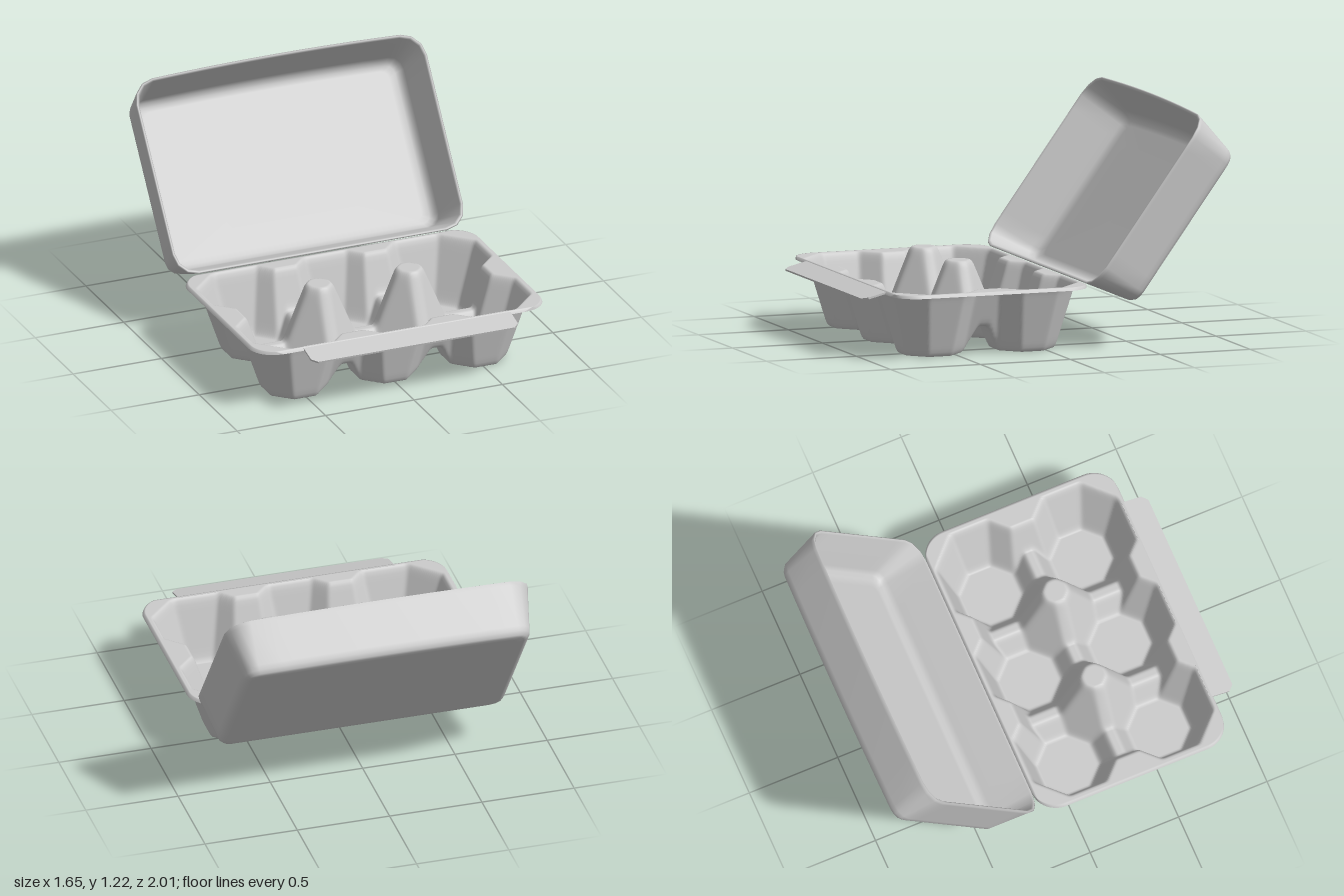
import * as THREE from 'three';

const material = new THREE.MeshStandardMaterial({ color: 0xcccccc, side: THREE.DoubleSide });
const RIM = 0.348, MID_Z = 0.34;

// Height of the moulded tray: octagonal cups, low ridges and two posts, folded by symmetry
function trayHeight(x, z) {
  const X = Math.abs(x), Z = Math.abs(z - MID_Z);
  const cupX = X < 0.255 ? 0 : 0.51;
  const dx = X - cupX, dz = Z - 0.257;
  const outX = cupX > 0 && dx > 0, outZ = dz > 0;
  const face = (d, slope, cap) => Math.min(cap, (d - 0.16) * slope);
  const post = 0.44 - Math.max(0, Math.hypot(X - 0.255, Z) - 0.07) * 2.4;
  const ax = Math.abs(dx), az = Math.abs(dz), diagonal = (ax + az) / Math.SQRT2;
  const sideX = outX ? face(ax, 3.1, RIM) : face(ax, 2, 0.13);
  const sideZ = outZ ? face(az, 3.8, RIM) : face(az, 2, 0.14);
  // ridges end in steep walls that scallop the opening between the cups
  const endWall = outX ? RIM - (0.69 - X) * 3 : RIM - (0.44 - Z) * 3;
  let corner;
  if (outX && outZ) corner = face(diagonal, 3.2, RIM);
  else if (outX || outZ) corner = face(diagonal, 3.4, Math.min(RIM, endWall));
  else corner = face(diagonal, 3.3, post);
  return Math.max(0, sideX, sideZ, corner);
}

// Average of nearby heights, which softens the moulded edges
function softHeight(x, z) {
  const s = 0.009;
  let sum = 0;
  for (const i of [-s, 0, s]) for (const j of [-s, 0, s]) sum += trayHeight(x + i, z + j);
  return sum / 9;
}

// Tray as a height grid whose rows narrow at the rounded corners
function trayGeometry() {
  const nx = 200, nz = 130, z0 = -0.2, z1 = 0.88, r = 0.14;
  const geometry = new THREE.PlaneGeometry(2, 2, nx, nz).rotateX(-Math.PI / 2);
  const p = geometry.attributes.position;
  for (let i = 0; i < p.count; i++) {
    const u = p.getX(i), v = p.getZ(i);
    const z = z0 + (v + 1) / 2 * (z1 - z0);
    const e = Math.min(r, z - z0, z1 - z);
    const half = 0.825 - r + Math.sqrt(Math.max(0, r * r - (r - e) ** 2));
    const x = u * half;
    const edge = Math.abs(u) > 0.9999 || Math.abs(v) > 0.9999;
    p.setXYZ(i, x, edge ? RIM - 0.016 : softHeight(x, z), z);
  }
  geometry.computeVertexNormals();
  return geometry;
}

// Rounded rectangle with subdivided sides
function roundedLoop(a, b, r) {
  const points = [], corners = [[1, 1], [-1, 1], [-1, -1], [1, -1]];
  const arcs = corners.map(([sx, sy], k) => {
    const arc = [];
    for (let j = 0; j <= 3; j++) {
      const t = (k + j / 3) * Math.PI / 2;
      arc.push([sx * (a - r) + r * Math.cos(t), sy * (b - r) + r * Math.sin(t)]);
    }
    return arc;
  });
  arcs.forEach((arc, k) => {
    points.push(...arc);
    const from = arc[3], to = arcs[(k + 1) % 4][0];
    for (let j = 1; j < 10; j++) {
      points.push([0, 1].map(c => from[c] + (to[c] - from[c]) * j / 10));
    }
  });
  return points;
}

// Lid: loops run from the outside floor over the rim to the inside floor
function lidGeometry() {
  // depth, half width, half length, corner radius
  const sections = [
    [0.28, 0.001, 0.001, 0.0005], [0.28, 0.70, 0.41, 0.04], [0.28, 0.738, 0.437, 0.05],
    [0.274, 0.757, 0.452, 0.06], [0.255, 0.773, 0.466, 0.07], [0.23, 0.778, 0.473, 0.075],
    [0.02, 0.817, 0.522, 0.115], [0, 0.822, 0.527, 0.12], [-0.003, 0.815, 0.52, 0.115],
    [0.004, 0.805, 0.51, 0.11], [0.22, 0.764, 0.459, 0.07], [0.25, 0.752, 0.447, 0.06],
    [0.265, 0.728, 0.425, 0.045], [0.268, 0.69, 0.40, 0.04], [0.268, 0.001, 0.001, 0.0005],
  ];
  const positions = [], index = [];
  sections.forEach(([w, a, b, r], s) => {
    const loop = roundedLoop(a, b, r), n = loop.length;
    loop.forEach(([x, l], i) => {
      // gentle bow along the free edge
      const along = 0.527 + l + 0.02 * Math.max(0, l / 0.527) * (1 - (x / 0.82) ** 2);
      positions.push(x, 0.348 + 0.808 * along - 0.589 * w, -0.2 - 0.589 * along - 0.808 * w);
      if (s) {
        const j = (i + 1) % n, p = (s - 1) * n, q = s * n;
        index.push(p + i, q + i, p + j, p + j, q + i, q + j);
      }
    });
  });
  const geometry = new THREE.BufferGeometry();
  geometry.setAttribute('position', new THREE.Float32BufferAttribute(positions, 3));
  geometry.setIndex(index);
  geometry.computeVertexNormals();
  return geometry;
}

// Sloping closing flap with clipped front corners
function flapGeometry() {
  const a = 0.585, d = 0.145, c = 0.03;
  const shape = new THREE.Shape([[-a, 0], [a, 0], [a, d - c], [a - c, d], [c - a, d], [-a, d - c]]
    .map(q => new THREE.Vector2(...q)));
  return new THREE.ExtrudeGeometry(shape, { depth: 0.01, bevelEnabled: false })
    .rotateX(Math.PI / 2).rotateX(0.24).translate(0.015, 0.348, 0.86);
}

export function createModel() {
  const group = new THREE.Group();
  group.name = 'eggCarton';
  const parts = { cupTray: trayGeometry(), openLid: lidGeometry(), frontFlap: flapGeometry() };
  for (const [name, geometry] of Object.entries(parts)) {
    const mesh = new THREE.Mesh(geometry, material);
    mesh.name = name;
    group.add(mesh);
  }
  return group;
}
